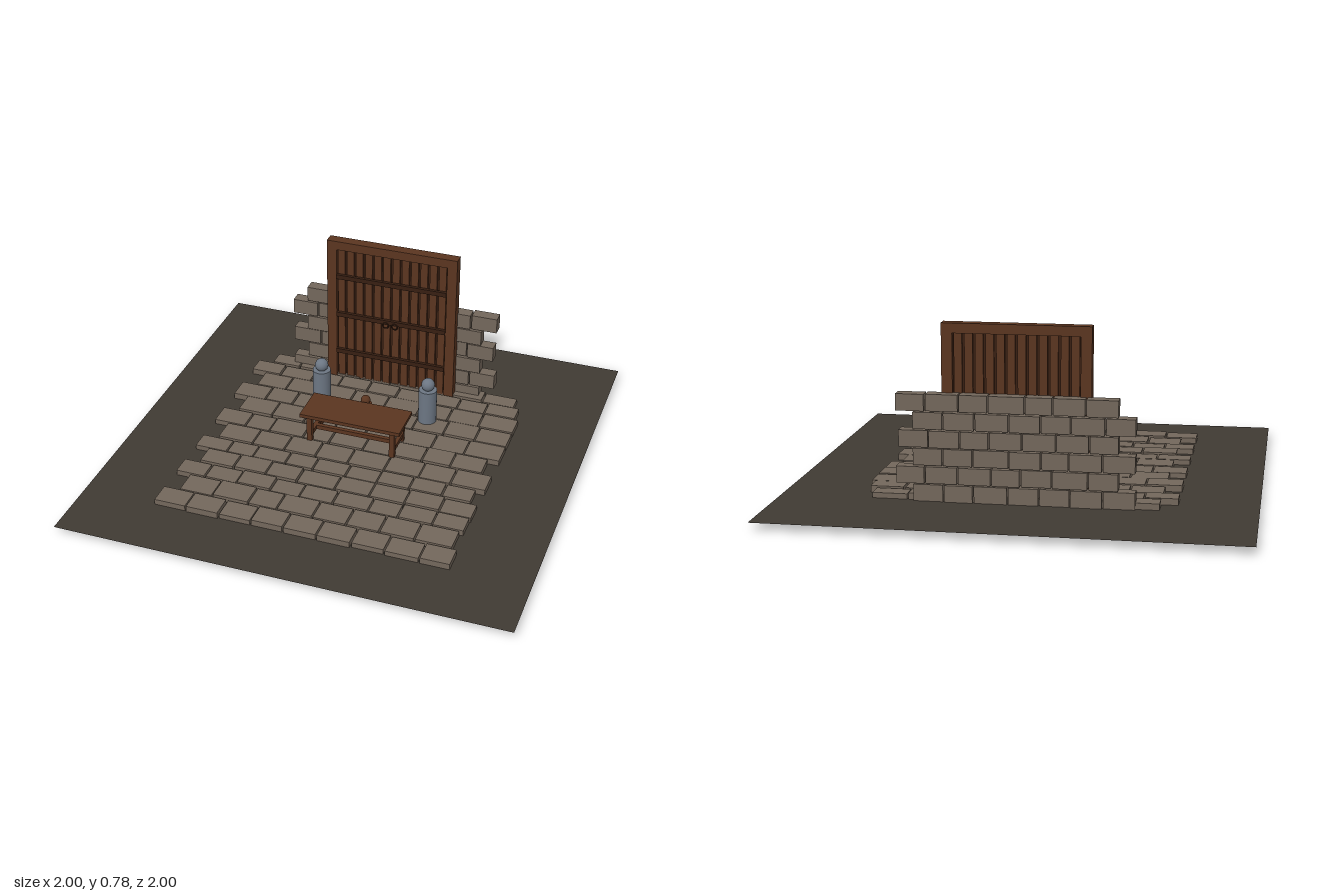
import * as THREE from 'three';

const mat = (name, color, extra = {}) => {
  const m = new THREE.MeshStandardMaterial({ color, ...extra });
  m.name = name;
  return m;
};

export function createModel() {
  const ground = mat('earth', 0x403a33, { side: THREE.DoubleSide });
  const stone = mat('stone', 0x73675b);
  const wood = mat('wood', 0x5a3520);
  const darkWood = mat('dark wood', 0x371f12);
  const steel = mat('steel', 0x6c7683);

  const model = new THREE.Group();
  model.name = 'gatehouse';
  const group = (name) => {
    const g = new THREE.Group();
    g.name = name;
    model.add(g);
    return g;
  };
  const add = (parent, name, geometry, material, x, y, z) => {
    const mesh = new THREE.Mesh(geometry, material);
    mesh.name = name;
    mesh.position.set(x, y, z);
    parent.add(mesh);
    return mesh;
  };
  // Box given by its lower and upper limits on each axis
  const box = (parent, name, material, x0, x1, y0, y1, z0, z1) =>
    add(parent, name, new THREE.BoxGeometry(x1 - x0, y1 - y0, z1 - z0), material,
      (x0 + x1) / 2, (y0 + y1) / 2, (z0 + z1) / 2);

  let seed = 7;
  const random = () => (seed = (seed * 16807) % 2147483647) / 2147483647;

  // Uneven joints between two ends
  const joints = (x0, x1, count) => Array.from({ length: count + 1 }, (_, i) => {
    const wobble = i > 0 && i < count ? (random() - 0.5) * 0.025 : 0;
    return x0 + (x1 - x0) * i / count + wobble;
  });

  // Ground sheet and the base slab under it
  const base = group('base');
  box(base, 'slab', ground, -0.69, 0.69, 0, 0.034, -0.63, 0.75);
  add(base, 'groundSheet', new THREE.PlaneGeometry(2, 2).rotateX(-Math.PI / 2), ground, 0, 0.035, 0);

  // Paving rows: back z, front z, right end
  const paving = group('paving');
  const rows = [
    [-0.565, -0.49, 0.61], [-0.475, -0.39, 0.64], [-0.385, -0.28, 0.66], [-0.27, -0.165, 0.66],
    [-0.16, -0.05, 0.66], [-0.04, 0.065, 0.61], [0.075, 0.185, 0.66], [0.195, 0.28, 0.62],
    [0.29, 0.385, 0.655], [0.395, 0.485, 0.65], [0.495, 0.605, 0.635], [0.615, 0.715, 0.66],
  ];
  rows.forEach(([z0, z1, end], r) => {
    const xs = joints(r % 2 ? -0.67 : -0.6, end, r % 2 ? 9 : 8);
    for (let i = 0; i + 1 < xs.length; i++) {
      const dz = (random() - 0.5) * 0.008;
      box(paving, 'pavingStone', stone, xs[i] + 0.004, xs[i + 1] - 0.004,
        0.03, 0.057 + random() * 0.007, z0 + dz, z1 + dz);
    }
  });

  // Ragged wall behind the gate: left end, right end of each course
  const wall = group('wall');
  const courses = [[-0.5, 0.43], [-0.43, 0.5], [-0.5, 0.43], [-0.43, 0.49], [-0.5, 0.43], [-0.43, 0.5]];
  courses.forEach(([x0, x1], r) => {
    const y = 0.035 + r * 0.0765;
    const xs = joints(x0, x1, 7);
    for (let i = 0; i < 7; i++) {
      const dz = (random() - 0.5) * 0.01;
      box(wall, 'wallStone', stone, xs[i] + 0.003, xs[i + 1] - 0.003,
        y, y + 0.071, -0.58 + dz, -0.525 + dz);
    }
  });

  // Gate: frame, planks over a dark core, cross straps
  const gate = group('gate');
  box(gate, 'topBeam', wood, -0.312, 0.312, 0.738, 0.78, -0.535, -0.485);
  for (const s of [-1, 1]) {
    box(gate, 'post', wood, s * 0.289 - 0.023, s * 0.289 + 0.023, 0.055, 0.738, -0.535, -0.485);
    add(gate, 'ringHandle', new THREE.TorusGeometry(0.014, 0.003, 6, 16), darkWood, s * 0.022, 0.385, -0.478);
  }
  box(gate, 'core', darkWood, -0.266, 0.266, 0.055, 0.738, -0.515, -0.505);
  const plankCount = 12, pitch = 0.532 / plankCount;
  for (let i = 0; i < plankCount; i++) {
    const x = -0.266 + (i + 0.5) * pitch;
    box(gate, 'plank', wood, x - 0.017, x + 0.017, 0.055, 0.738, -0.525, -0.493);
  }
  for (const y of [0.2, 0.4, 0.6]) {
    box(gate, 'strap', darkWood, -0.266, 0.266, y - 0.011, y + 0.011, -0.493, -0.478);
  }

  // Trestle table
  const table = group('table');
  box(table, 'tableTop', wood, -0.235, 0.235, 0.187, 0.204, -0.092, 0.095);
  for (const x of [-0.195, 0.195]) {
    for (const z of [-0.065, 0.07]) {
      box(table, 'leg', wood, x - 0.012, x + 0.012, 0.055, 0.187, z - 0.011, z + 0.011);
    }
    box(table, 'endRail', wood, x - 0.009, x + 0.009, 0.08, 0.1, -0.06, 0.065);
  }
  box(table, 'stretcher', wood, -0.195, 0.195, 0.08, 0.1, -0.01, 0.01);

  // Standing figures: cylinder body and ball head
  const figure = (name, material, x, z, radius, top, headRadius, headY) => {
    const g = group(name);
    add(g, 'body', new THREE.CylinderGeometry(radius, radius, top - 0.055, 24), material, x, (top + 0.055) / 2, z);
    add(g, 'head', new THREE.SphereGeometry(headRadius, 20, 14), material, x, headY, z);
  };
  figure('leftGuard', steel, 0.258, -0.255, 0.042, 0.228, 0.031, 0.253);
  figure('rightGuard', steel, -0.258, -0.255, 0.042, 0.228, 0.031, 0.253);
  figure('sitter', wood, 0, -0.133, 0.029, 0.172, 0.022, 0.191);

  return model;
}
